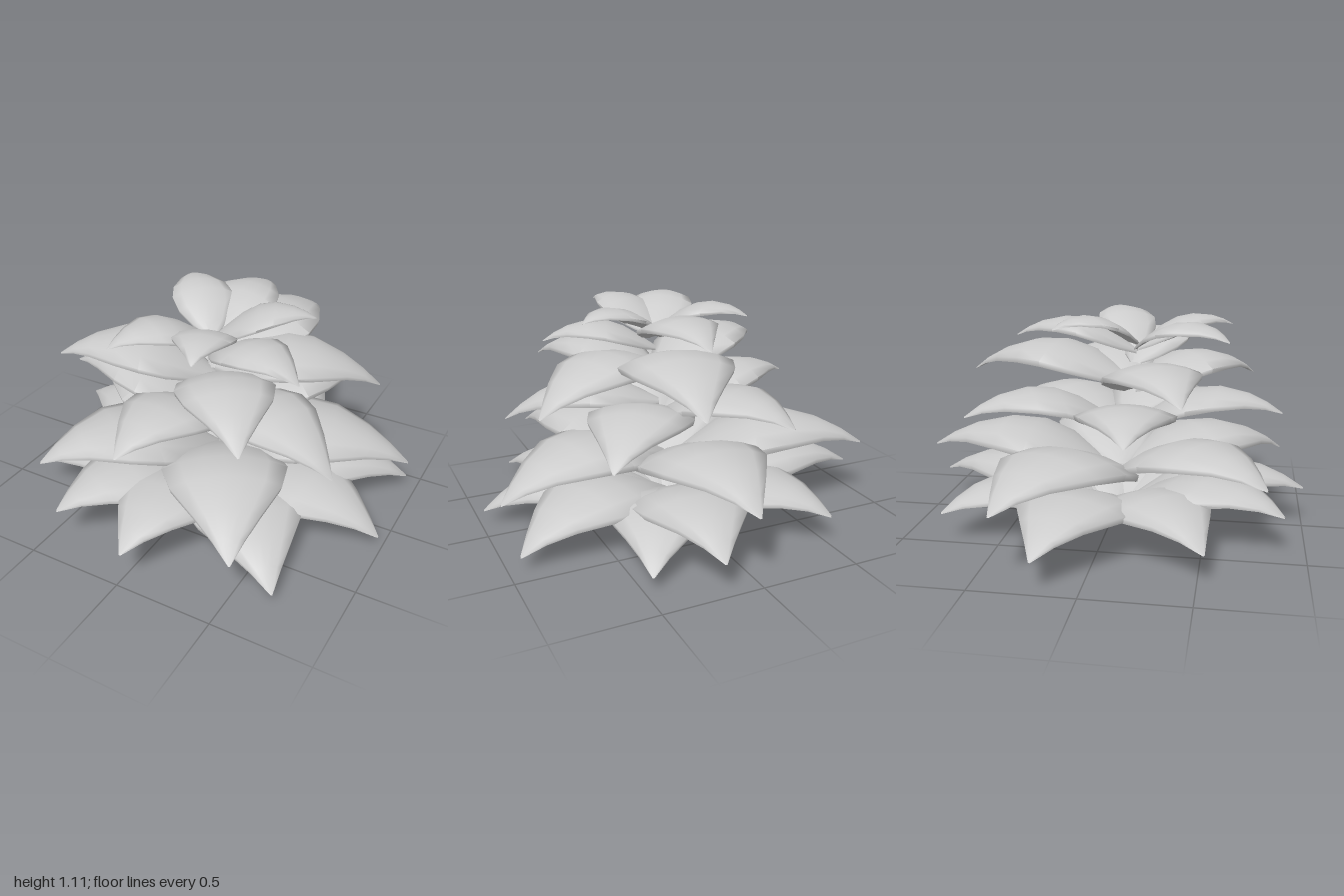
import * as THREE from 'three';
import { toCreasedNormals } from 'three/addons/utils/BufferGeometryUtils.js';

// Leaf outline along its length: position, half width, arch height, thickness (as shares of the length)
const SECTIONS = [
  [0, 0.05, 0, 0.02], [0.12, 0.17, 0.07, 0.025], [0.28, 0.28, 0.155, 0.03], [0.44, 0.31, 0.2, 0.032],
  [0.6, 0.268, 0.195, 0.03], [0.78, 0.155, 0.14, 0.024], [0.9, 0.073, 0.075, 0.015], [1, 0.004, 0, 0.006],
];
const ACROSS = [-1, -0.7, -0.35, 0, 0.35, 0.7, 1];

// Tiers from the ground up, each leaf as tip x, z, y and base height
const TIERS = {
  bottomLeaf: [
    [0.98, 0.16, 0.07, 0.07], [0.69, 0.76, 0.06, 0.04], [0.03, 1, 0.2, 0.03], [-0.42, 0.89, 0.2, 0.03],
    [-0.8, 0.53, 0.15, 0.03], [-0.99, -0.21, 0.15, 0.03], [-0.5, -0.79, 0.15, 0.03], [0.19, -0.99, 0.16, 0.03],
    [0.46, -0.82, 0.07, 0.05], [0.94, -0.4, 0.07, 0.09]],
  lowerLeaf: [
    [0.98, -0.24, 0.27, 0.3], [0.54, 0.89, 0.27, 0.26], [-0.57, 0.8, 0.38, 0.25], [-0.95, -0.4, 0.33, 0.23],
    [0.03, -1, 0.35, 0.24]],
  middleLeaf: [
    [0.79, 0.36, 0.48, 0.57], [-0.06, 0.87, 0.62, 0.5], [-0.78, 0.17, 0.61, 0.48], [-0.32, -0.71, 0.6, 0.5],
    [0.56, -0.62, 0.5, 0.49]],
  upperLeaf: [
    [0.78, -0.26, 0.67, 0.77], [0.49, 0.72, 0.72, 0.71], [-0.7, 0.41, 0.78, 0.71], [0.2, -0.81, 0.75, 0.75],
    [0.58, 0.31, 0.89, 0.85]],
  crownLeaf: [
    [0.49, -0.07, 1.05, 0.92], [0.19, 0.6, 1.03, 0.92], [-0.26, 0.6, 1, 0.92], [-0.31, -0.25, 1.05, 0.94],
    [0.03, -0.52, 0.97, 0.91]],
};

// Arched, domed leaf along +z, made of closed cross-sections (upper skin, then lower skin)
function leafGeometry(length, rise) {
  const positions = [], index = [], n = ACROSS.length * 2;
  for (const [t, w, arch, thick] of SECTIONS) {
    const point = (u, inset, drop) => positions.push(
      u * w * inset * length,
      rise * t + (arch - 0.24 * w * u * u - drop) * length,
      t * length);
    ACROSS.forEach((u) => point(u, 1, 0));
    [...ACROSS].reverse().forEach((u) => point(u, 0.97, thick));
  }
  for (let i = 0; i < SECTIONS.length - 1; i++) {
    for (let j = 0; j < n; j++) {
      const a = i * n + j, c = i * n + (j + 1) % n;
      index.push(a, a + n, c, c, a + n, c + n);
    }
  }
  const geometry = new THREE.BufferGeometry();
  geometry.setAttribute('position', new THREE.Float32BufferAttribute(positions, 3));
  geometry.setIndex(index);
  // Rolls the rim softly into the upper skin but keeps the underside edge sharp
  return toCreasedNormals(geometry, 1.5);
}

export function createModel() {
  const model = new THREE.Group();
  model.name = 'rosettePlant';
  const material = new THREE.MeshStandardMaterial({ color: 0xcccccc, side: THREE.DoubleSide });

  for (const [name, leaves] of Object.entries(TIERS)) {
    const tier = new THREE.Group();
    tier.name = name + 'Tier';
    for (const [x, z, y, base] of leaves) {
      // The leaf bases lean slightly forward towards the crown
      const cx = 0.03, cz = 0.13 * base;
      const dx = x - cx, dz = z - cz;
      const leaf = new THREE.Mesh(leafGeometry(Math.hypot(dx, dz), y - base), material);
      leaf.name = name;
      leaf.position.set(cx, base, cz);
      leaf.rotation.y = Math.atan2(dx, dz);
      tier.add(leaf);
    }
    model.add(tier);
  }
  return model;
}
